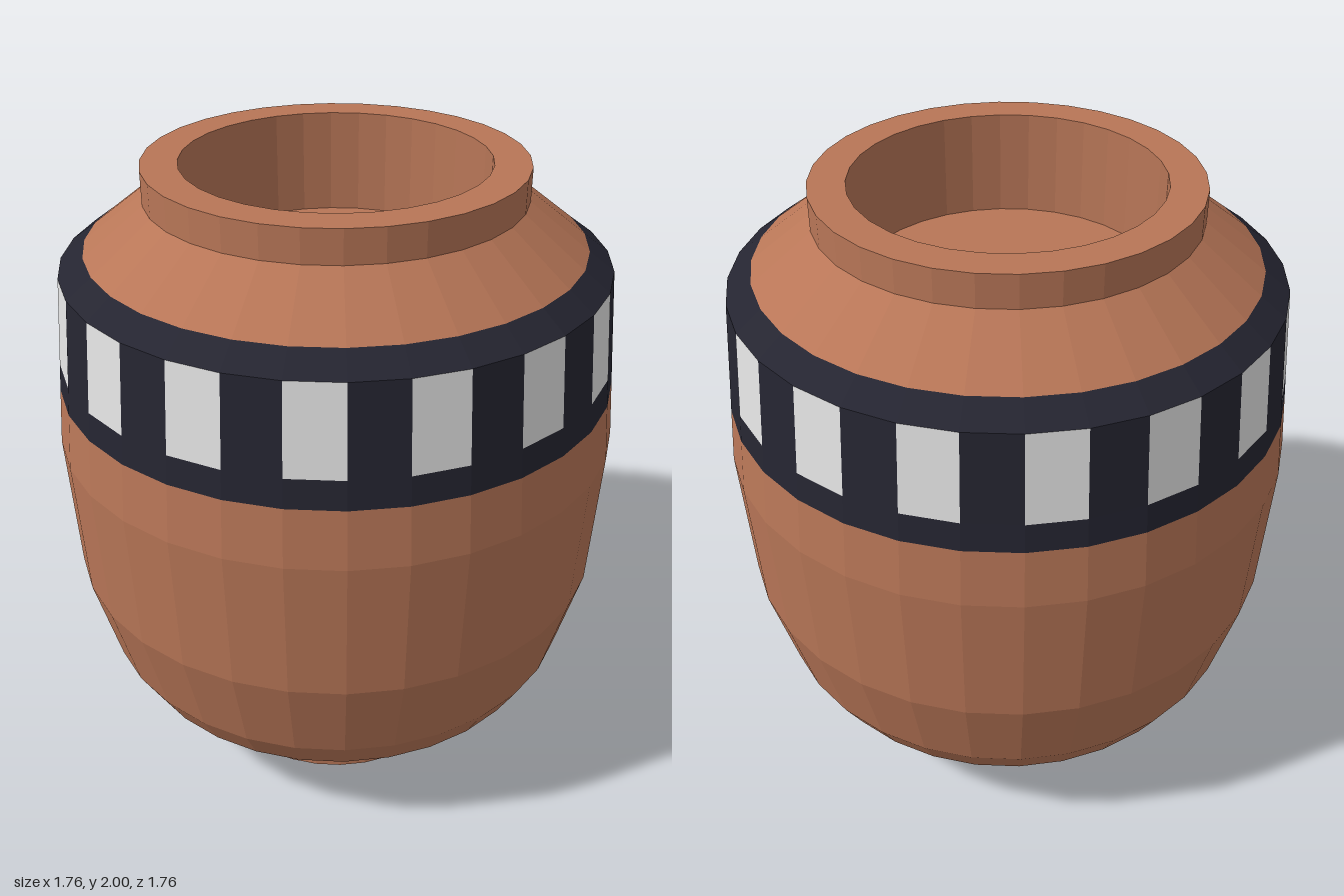
import * as THREE from 'three';

const SIDES = 32;
const STEP = (Math.PI * 2) / SIDES;

const clay = new THREE.MeshStandardMaterial({ color: 0xb87657 });
clay.name = 'terracotta';
const dark = new THREE.MeshStandardMaterial({ color: 0x252531 });
dark.name = 'dark glaze';
const white = new THREE.MeshStandardMaterial({ color: 0xe4e4e4 });
white.name = 'white glaze';

// Faceted surface of revolution from [radius, height] pairs
function turned(name, profile, material, segments = SIDES, start = 0) {
  const points = profile.map(([r, y]) => new THREE.Vector2(r, y));
  const geometry = new THREE.LatheGeometry(points, segments, start, segments * STEP).toNonIndexed();
  geometry.computeVertexNormals();
  const mesh = new THREE.Mesh(geometry, material);
  mesh.name = name;
  return mesh;
}

export function createModel() {
  const pot = new THREE.Group();
  pot.name = 'pot';

  // Closed base, foot ring and rounded belly
  pot.add(turned('footAndBelly', [
    [0, 0], [0.43, 0], [0.43, 0.095], [0.717, 0.303], [0.78, 0.414],
    [0.856, 0.707], [0.878, 1.16], [0.862, 1.34],
  ], clay));

  // Shoulder, neck, rim and shallow inner well
  pot.add(turned('shoulderAndNeck', [
    [0.753, 1.757], [0.57, 1.9], [0.57, 2], [0.46, 2], [0.46, 1.68], [0, 1.68],
  ], clay));

  // Glazed band: dark borders with alternating dark and white panels between
  const band = new THREE.Group();
  band.name = 'band';
  band.add(turned('bandLowerBorder', [[0.862, 1.34], [0.854, 1.428]], dark));
  band.add(turned('bandUpperBorder', [[0.83, 1.7], [0.753, 1.757]], dark));
  for (let i = 0; i < SIDES; i++) {
    const isWhite = i % 2 === 0;
    band.add(turned(isWhite ? 'whitePanel' : 'darkPanel',
      [[0.854, 1.428], [0.83, 1.7]], isWhite ? white : dark, 1, i * STEP));
  }
  pot.add(band);

  return pot;
}
